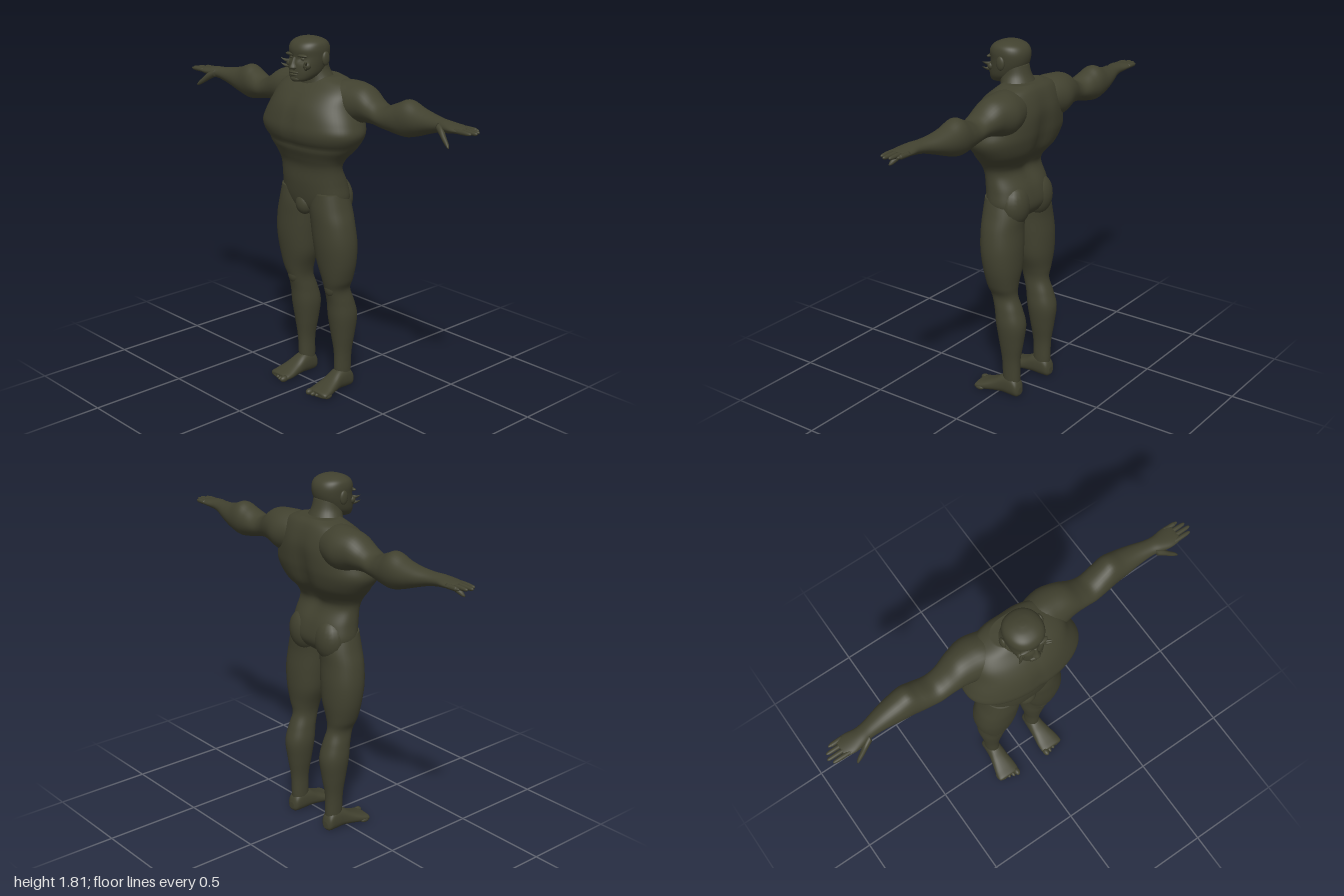
import * as THREE from 'three';

const skin = new THREE.MeshStandardMaterial({ color: 0x41412f });
skin.name = 'dark olive skin';

// Smooth closed loft. Rows: [t, uMin, uMax, vMin, vMax], with (t,u,v) = (x,y,z), (y,z,x) or (z,x,y).
function loft(axis, rows, { power = 2, sides = 32, steps = 6, rule } = {}) {
  const fine = [];
  for (let i = 0; i < rows.length - 1; i++) {
    const p0 = rows[Math.max(i - 1, 0)], p1 = rows[i], p2 = rows[i + 1], p3 = rows[Math.min(i + 2, rows.length - 1)];
    const last = i === rows.length - 2;
    for (let s = 0; s < steps + (last ? 1 : 0); s++) {
      const f = s / steps;
      fine.push(p1.map((b, k) => {
        const a = p0[k], c = p2[k], d = p3[k];
        return 0.5 * (2 * b + (c - a) * f + (2 * a - 5 * b + 4 * c - d) * f * f + (3 * b - a - 3 * c + d) * f ** 3);
      }));
    }
  }
  const pos = [], index = [];
  const put = (t, u, v) => {
    const p = axis === 'x' ? new THREE.Vector3(t, u, v) : axis === 'y' ? new THREE.Vector3(v, t, u) : new THREE.Vector3(u, v, t);
    if (rule) rule(p);
    pos.push(p.x, p.y, p.z);
  };
  const curve = (c) => Math.sign(c) * Math.abs(c) ** (2 / power);
  for (const [t, u0, u1, v0, v1] of fine) {
    for (let j = 0; j < sides; j++) {
      const a = (j / sides) * Math.PI * 2;
      put(t, (u0 + u1) / 2 + ((u1 - u0) / 2) * curve(Math.cos(a)), (v0 + v1) / 2 + ((v1 - v0) / 2) * curve(Math.sin(a)));
    }
  }
  for (let i = 0; i < fine.length - 1; i++) {
    for (let j = 0; j < sides; j++) {
      const k = (j + 1) % sides, a = i * sides + j, b = i * sides + k;
      index.push(a, b, b + sides, a, b + sides, a + sides);
    }
  }
  // end caps
  const n = fine.length * sides;
  for (const r of [fine[0], fine[fine.length - 1]]) put(r[0], (r[1] + r[2]) / 2, (r[3] + r[4]) / 2);
  for (let j = 0; j < sides; j++) {
    const k = (j + 1) % sides, e = n - sides;
    index.push(n, k, j, n + 1, e + j, e + k);
  }
  const g = new THREE.BufferGeometry();
  g.setAttribute('position', new THREE.Float32BufferAttribute(pos, 3));
  g.setIndex(index);
  g.computeVertexNormals();
  return g;
}

function ellipsoid(x, y, z, rx, ry, rz) {
  return new THREE.SphereGeometry(1, 20, 14).scale(rx, ry, rz).translate(x, y, z);
}

// Mirror a geometry across x = 0 and keep its faces outward.
function mirrored(geometry) {
  const g = geometry.clone().scale(-1, 1, 1);
  const ix = g.index.array;
  for (let i = 0; i < ix.length; i += 3) [ix[i], ix[i + 1]] = [ix[i + 1], ix[i]];
  g.computeVertexNormals();
  return g;
}

export function createModel() {
  const model = new THREE.Group();
  model.name = 'muscularFigure';
  const add = (name, geometry) => {
    const m = new THREE.Mesh(geometry, skin);
    m.name = name;
    model.add(m);
  };
  const pair = (name, geometry) => {
    add('left' + name, geometry);
    add('right' + name, mirrored(geometry));
  };
  const bump = (v, c, w) => Math.exp(-(((v - c) / w) ** 2));

  // Torso: barrel chest, narrow waist, spine furrow and chest crease
  add('torso', loft('y', [
    [0.94, -0.07, 0.05, -0.05, 0.05],
    [0.97, -0.11, 0.08, -0.15, 0.15],
    [1.02, -0.13, 0.095, -0.197, 0.197],
    [1.1, -0.115, 0.105, -0.193, 0.193],
    [1.18, -0.075, 0.108, -0.19, 0.19],
    [1.23, -0.09, 0.125, -0.21, 0.21],
    [1.29, -0.14, 0.152, -0.262, 0.262],
    [1.36, -0.165, 0.175, -0.305, 0.305],
    [1.42, -0.175, 0.17, -0.29, 0.29],
    [1.49, -0.178, 0.148, -0.255, 0.255],
    [1.55, -0.165, 0.105, -0.235, 0.235],
    [1.595, -0.145, 0.055, -0.19, 0.19],
    [1.62, -0.12, 0.03, -0.11, 0.11],
  ], {
    power: 2.25, sides: 64,
    rule: (p) => {
      const mid = bump(p.x, 0, 0.05);
      if (p.z < -0.03) p.z += 0.022 * mid * bump(p.y, 1.33, 0.2);
      if (p.z > 0.03) p.z -= 0.008 * bump(p.x, 0, 0.02) * bump(p.y, 1.42, 0.1) + 0.006 * bump(p.y, 1.3, 0.015);
    },
  }));
  add('groin', ellipsoid(0, 0.985, 0.065, 0.05, 0.055, 0.04));
  pair('Buttock', ellipsoid(0.095, 1.02, -0.065, 0.09, 0.105, 0.068));

  // Neck and head
  add('neck', loft('y', [
    [1.54, -0.13, 0.07, -0.14, 0.14],
    [1.6, -0.1, 0.065, -0.1, 0.1],
    [1.65, -0.075, 0.07, -0.075, 0.075],
    [1.7, -0.06, 0.06, -0.07, 0.07],
  ]));
  add('head', loft('y', [
    [1.602, 0.055, 0.12, -0.03, 0.03],
    [1.612, 0.03, 0.132, -0.052, 0.052],
    [1.64, -0.02, 0.135, -0.073, 0.073],
    [1.68, -0.05, 0.133, -0.084, 0.084],
    [1.72, -0.065, 0.127, -0.09, 0.09],
    [1.757, -0.066, 0.128, -0.092, 0.092],
    [1.785, -0.05, 0.112, -0.082, 0.082],
    [1.803, -0.015, 0.078, -0.052, 0.052],
    [1.81, 0.02, 0.04, -0.012, 0.012],
  ], {
    power: 2.2, sides: 48,
    rule: (p) => {
      // eye sockets
      if (p.z > 0.05) p.z -= 0.013 * bump(Math.abs(p.x), 0.037, 0.018) * bump(p.y, 1.712, 0.015);
    },
  }));
  add('nose', loft('y', [
    [1.662, 0.1, 0.14, -0.014, 0.014],
    [1.67, 0.1, 0.155, -0.021, 0.021],
    [1.69, 0.1, 0.146, -0.013, 0.013],
    [1.72, 0.1, 0.132, -0.009, 0.009],
  ], { sides: 16 }));
  add('upperLip', ellipsoid(0, 1.648, 0.132, 0.033, 0.006, 0.011));
  add('lowerLip', ellipsoid(0, 1.636, 0.131, 0.028, 0.007, 0.011));
  add('chin', ellipsoid(0, 1.615, 0.123, 0.03, 0.014, 0.014));
  pair('Brow', ellipsoid(0.04, 1.728, 0.114, 0.034, 0.008, 0.014));
  pair('Eye', ellipsoid(0.037, 1.712, 0.105, 0.014, 0.008, 0.012));
  pair('Cheek', ellipsoid(0.058, 1.682, 0.1, 0.022, 0.02, 0.02));
  pair('Ear', ellipsoid(0.1, 1.712, 0.018, 0.012, 0.034, 0.023));
  // Small curved cheek spikes
  for (let i = 0; i < 2; i++) {
    const y = 1.668 + i * 0.025;
    pair('CheekSpike' + (i + 1), loft('x', [
      [0.05, y - 0.01, y + 0.01, 0.09, 0.112],
      [0.07, y - 0.008, y + 0.008, 0.108, 0.124],
      [0.085, y + 0.004, y + 0.01, 0.122, 0.13],
      [0.09, y + 0.012, y + 0.014, 0.13, 0.132],
    ], { sides: 10, steps: 3 }));
  }

  // Arm from shoulder to palm
  pair('Arm', loft('x', [
    [0.08, 1.45, 1.59, -0.14, 0.02],
    [0.15, 1.41, 1.61, -0.165, 0.045],
    [0.22, 1.405, 1.612, -0.175, 0.035],
    [0.3, 1.425, 1.598, -0.155, 0.022],
    [0.37, 1.43, 1.553, -0.135, 0.015],
    [0.43, 1.422, 1.53, -0.132, 0.012],
    [0.5, 1.408, 1.555, -0.14, 0.004],
    [0.56, 1.402, 1.578, -0.145, -0.004],
    [0.63, 1.42, 1.555, -0.138, -0.01],
    [0.7, 1.445, 1.54, -0.122, -0.015],
    [0.77, 1.467, 1.532, -0.1, -0.015],
    [0.82, 1.475, 1.53, -0.092, -0.005],
    [0.87, 1.483, 1.524, -0.098, 0.004],
    [0.91, 1.49, 1.518, -0.098, 0.0],
    [0.925, 1.496, 1.514, -0.092, -0.006],
  ]));
  const fingers = [['Index', -0.012, 0.985], ['Middle', -0.036, 1.0], ['Ring', -0.061, 0.99], ['Little', -0.086, 0.965]];
  for (const [name, z, tip] of fingers) {
    pair(name + 'Finger', loft('x', [
      [0.89, 1.493, 1.515, z - 0.012, z + 0.012],
      [0.94, 1.493, 1.515, z - 0.011, z + 0.011],
      [tip - 0.015, 1.495, 1.512, z - 0.009, z + 0.009],
      [tip - 0.003, 1.499, 1.509, z - 0.005, z + 0.005],
      [tip, 1.502, 1.505, z - 0.001, z + 0.001],
    ], { sides: 12, steps: 4 }));
  }
  pair('Thumb', loft('x', [
    [0.79, 1.485, 1.52, -0.04, 0.0],
    [0.825, 1.465, 1.505, -0.02, 0.014],
    [0.855, 1.445, 1.477, -0.002, 0.024],
    [0.882, 1.43, 1.452, 0.012, 0.03],
    [0.893, 1.429, 1.436, 0.022, 0.03],
  ], { sides: 14, steps: 4 }));

  // Leg from hip to ankle
  pair('Leg', loft('y', [
    [0.04, -0.115, -0.03, 0.1, 0.17], [0.1, -0.118, -0.025, 0.098, 0.172],
    [0.2, -0.12, -0.022, 0.097, 0.177], [0.3, -0.135, -0.008, 0.08, 0.192],
    [0.4, -0.146, 0.008, 0.067, 0.204], [0.48, -0.125, 0.018, 0.073, 0.198],
    [0.55, -0.1, 0.037, 0.08, 0.192], [0.61, -0.103, 0.053, 0.068, 0.218],
    [0.7, -0.114, 0.07, 0.035, 0.242], [0.8, -0.116, 0.084, 0.02, 0.25],
    [0.9, -0.11, 0.09, 0.01, 0.238], [0.98, -0.11, 0.092, 0.005, 0.215],
    [1.06, -0.09, 0.085, 0.02, 0.193],
  ], { power: 2.15 }));
  pair('Kneecap', ellipsoid(0.137, 0.565, 0.02, 0.035, 0.045, 0.022));

  // Foot and toes
  pair('Foot', loft('z', [
    [-0.128, 0.12, 0.155, 0.015, 0.05], [-0.115, 0.102, 0.172, 0.002, 0.085],
    [-0.08, 0.096, 0.176, 0.0, 0.115], [-0.03, 0.092, 0.18, 0.004, 0.105],
    [0.02, 0.088, 0.192, 0.003, 0.075], [0.07, 0.082, 0.205, 0.0, 0.052],
    [0.11, 0.084, 0.208, 0.002, 0.038], [0.12, 0.1, 0.19, 0.008, 0.03],
  ], { power: 2.4 }));
  for (let i = 0; i < 5; i++) {
    const r = i === 0 ? 0.017 : 0.0125;
    pair('Toe' + (i + 1), ellipsoid(0.1 + i * 0.0245, r + 0.002, 0.12 - i * 0.008, r, r, 0.026));
  }
  return model;
}
